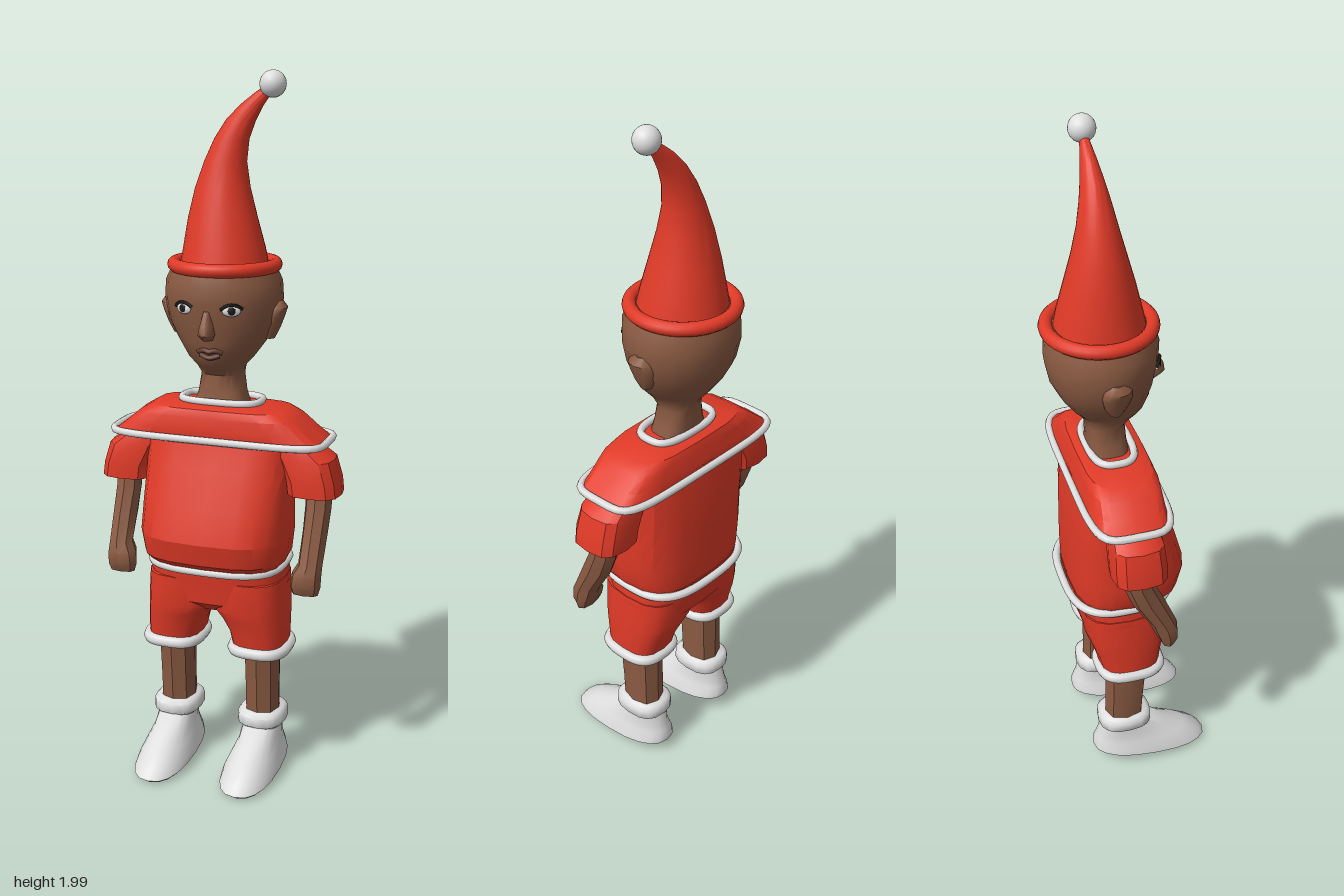
import * as THREE from 'three';
import { toCreasedNormals } from 'three/addons/utils/BufferGeometryUtils.js';

const mat = (name, color) => Object.assign(new THREE.MeshStandardMaterial({ color }), { name });

// point on a rounded-rectangle outline; e = 2 is an ellipse, higher is boxier
function outline(a, x0, x1, z0, z1, e = 2) {
  const p = (v) => Math.sign(v) * Math.pow(Math.abs(v), 2 / e);
  return [(x0 + x1) / 2 + ((x1 - x0) / 2) * p(Math.cos(a)), (z0 + z1) / 2 + ((z1 - z0) / 2) * p(Math.sin(a))];
}

// skin over horizontal rings [y, x0, x1, z0, z1, e], bottom to top, with both ends closed
function loft(rings, n = 16, crease = 0.6, rule = null) {
  const pos = [], idx = [];
  const add = (x, y, z) => pos.push(x, rule ? rule(y, z) : y, z);
  rings.forEach(([y, ...r]) => {
    for (let i = 0; i < n; i++) {
      const [x, z] = outline((i / n) * Math.PI * 2, ...r);
      add(x, y, z);
    }
  });
  const last = rings.length - 1;
  for (const k of [0, last]) {
    const [y, x0, x1, z0, z1] = rings[k];
    add((x0 + x1) / 2, y, (z0 + z1) / 2);
  }
  const c = rings.length * n;
  for (let i = 0; i < n; i++) {
    const j = (i + 1) % n;
    for (let k = 0; k < last; k++) {
      const a = k * n + i, b = k * n + j;
      idx.push(a, a + n, b, b, a + n, b + n);
    }
    idx.push(c, i, j, c + 1, last * n + j, last * n + i);
  }
  const g = new THREE.BufferGeometry();
  g.setAttribute('position', new THREE.Float32BufferAttribute(pos, 3));
  g.setIndex(idx);
  return toCreasedNormals(g, crease);
}

// rings mirrored across x when s is -1
const side = (s, rings) => (s > 0 ? rings : rings.map(([y, a, b, ...r]) => [y, -b, -a, ...r]));

// closed cord around an outline
function cord(y, r, x0, x1, z0, z1, e = 2) {
  const pts = [];
  for (let i = 0; i < 24; i++) {
    const [x, z] = outline((i / 24) * Math.PI * 2, x0, x1, z0, z1, e);
    pts.push(new THREE.Vector3(x, y, z));
  }
  return new THREE.TubeGeometry(new THREE.CatmullRomCurve3(pts, true), 72, r, 8, true);
}

const strand = (r, ...p) =>
  new THREE.TubeGeometry(new THREE.CatmullRomCurve3(p.map((q) => new THREE.Vector3(...q))), 10, r, 6);

export function createModel() {
  const model = new THREE.Group();
  const red = mat('red cloth', 0xe03a27), skin = mat('brown skin', 0x8a5a42);
  const white = mat('white trim', 0xdedede), black = mat('black', 0x1c1816), lip = mat('lip brown', 0x6b4030);
  const add = (name, geo, m) => {
    const mesh = new THREE.Mesh(geo, m);
    mesh.name = name;
    model.add(mesh);
    return mesh;
  };

  // hat
  add('hat', loft([
    [1.47, -0.125, 0.125, -0.19, 0.06], [1.53, -0.115, 0.112, -0.178, 0.046],
    [1.61, -0.102, 0.09, -0.158, 0.026], [1.69, -0.083, 0.07, -0.137, 0.004],
    [1.76, -0.058, 0.06, -0.12, -0.014], [1.82, -0.03, 0.067, -0.107, -0.027],
    [1.87, 0.003, 0.086, -0.096, -0.038], [1.91, 0.043, 0.108, -0.087, -0.047],
    [1.94, 0.082, 0.13, -0.08, -0.054], [1.965, 0.12, 0.145, -0.074, -0.06],
  ], 32, 1), red);
  const brim = add('hatBrim', new THREE.TorusGeometry(0.14, 0.019, 12, 40), red);
  brim.rotation.x = Math.PI / 2;
  brim.position.set(0, 1.483, -0.066);
  add('pompom', new THREE.SphereGeometry(0.036, 24, 16), white).position.set(0.133, 1.964, -0.067);

  // head and neck
  add('head', loft([
    [1.07, -0.085, 0.085, -0.11, 0.01, 3], [1.13, -0.066, 0.066, -0.106, 0, 3],
    [1.18, -0.06, 0.06, -0.11, -0.002, 2.4], [1.205, -0.068, 0.068, -0.118, 0.03],
    [1.235, -0.095, 0.095, -0.145, 0.054], [1.28, -0.127, 0.127, -0.178, 0.066],
    [1.33, -0.154, 0.154, -0.203, 0.078], [1.39, -0.166, 0.166, -0.215, 0.088],
    [1.44, -0.163, 0.163, -0.213, 0.09], [1.49, -0.14, 0.14, -0.195, 0.07],
  ], 20, 0.9), skin);
  add('nose', loft([
    [1.295, -0.014, 0.014, 0.05, 0.092], [1.312, -0.023, 0.023, 0.05, 0.115],
    [1.335, -0.018, 0.018, 0.05, 0.112], [1.375, -0.009, 0.009, 0.05, 0.092],
  ], 10, 1), skin);
  add('upperLip', strand(0.007, [-0.035, 1.258, 0.053], [-0.012, 1.264, 0.063], [0, 1.26, 0.064], [0.012, 1.264, 0.063], [0.035, 1.258, 0.053]), lip);
  add('lowerLip', strand(0.007, [-0.028, 1.25, 0.053], [0, 1.243, 0.062], [0.028, 1.25, 0.053]), lip);

  for (const s of [1, -1]) {
    // eyes, lashes and ears
    const eye = new THREE.Group();
    eye.name = 'eye';
    eye.position.set(s * 0.068, 1.378, 0.073);
    eye.rotation.y = s * 0.4;
    const part = (name, r, m, sx, sy, sz, y, z) => {
      const p = new THREE.Mesh(new THREE.SphereGeometry(r, 16, 10), m);
      p.name = name;
      p.scale.set(sx, sy, sz);
      p.position.set(0, y, z);
      eye.add(p);
    };
    part('eyeWhite', 0.025, white, 1, 0.6, 0.3, 0, 0);
    part('pupil', 0.011, black, 1, 1, 0.3, 0.001, 0.006);
    const lash = new THREE.Mesh(strand(0.0045, [-0.03, 0.004, 0], [-0.012, 0.016, 0.004], [0.012, 0.016, 0.004], [0.03, 0.006, 0]), black);
    lash.name = 'lashes';
    eye.add(lash);
    model.add(eye);
    add('ear', loft(side(s, [
      [1.285, 0.12, 0.148, -0.075, -0.045], [1.315, 0.12, 0.163, -0.095, -0.03],
      [1.35, 0.12, 0.176, -0.104, -0.02], [1.372, 0.12, 0.184, -0.1, -0.022],
      [1.392, 0.12, 0.17, -0.085, -0.04],
    ]), 10, 0.9), skin);

    // sleeve, arm and hand
    add('sleeve', loft(side(s, [
      [0.86, 0.205, 0.355, -0.12, 0.035, 3], [0.9, 0.2, 0.35, -0.122, 0.035, 3],
      [0.96, 0.17, 0.333, -0.118, 0.03, 3], [1.0, 0.15, 0.275, -0.11, 0.02, 3],
    ]), 12, 0.5), red);
    add('arm', loft(side(s, [
      [0.585, 0.24, 0.315, 0.025, 0.062, 2.5], [0.61, 0.233, 0.322, 0.012, 0.074, 2.5],
      [0.645, 0.238, 0.322, -0.002, 0.074, 2.5], [0.67, 0.252, 0.322, -0.012, 0.065],
      [0.75, 0.252, 0.324, -0.06, 0.032], [0.82, 0.25, 0.326, -0.085, 0],
      [0.9, 0.25, 0.325, -0.095, -0.015],
    ]), 8), skin);

    // shorts leg, hem, leg, cuff and shoe
    add('shortsLeg', loft(side(s, [
      [0.38, 0.055, 0.207, -0.11, 0.06, 2.8], [0.44, 0.042, 0.207, -0.125, 0.07, 2.8],
      [0.48, 0.02, 0.206, -0.14, 0.08, 2.8], [0.51, -0.004, 0.205, -0.15, 0.087, 2.8],
      [0.6, -0.01, 0.2, -0.16, 0.09, 2.8],
    ])), red);
    add('shortsHem', cord(0.385, 0.017, ...(s > 0 ? [0.055, 0.207] : [-0.207, -0.055]), -0.113, 0.063, 3), white);
    add('leg', loft(side(s, [
      [0.14, 0.082, 0.182, -0.098, 0.018, 2.4], [0.25, 0.082, 0.182, -0.096, 0.025, 2.4],
      [0.4, 0.08, 0.184, -0.095, 0.038, 2.4],
    ]), 8), skin);
    add('sockCuff', loft(side(s, [
      [0.133, 0.073, 0.192, -0.11, 0.03, 2.6], [0.143, 0.063, 0.202, -0.12, 0.042, 2.6],
      [0.17, 0.063, 0.202, -0.12, 0.042, 2.6], [0.181, 0.073, 0.192, -0.11, 0.03, 2.6],
    ]), 16, 0.9), white);
    add('shoe', loft(side(s, [
      [0.004, 0.06, 0.205, -0.128, 0.21, 2.4], [0.014, 0.052, 0.213, -0.137, 0.222, 2.4],
      [0.035, 0.056, 0.209, -0.137, 0.205, 2.3], [0.07, 0.068, 0.198, -0.13, 0.155, 2.2],
      [0.1, 0.077, 0.19, -0.122, 0.095, 2.2], [0.145, 0.08, 0.186, -0.112, 0.03, 2.2],
    ]), 20, 0.8, (y, z) => y + 0.033 * ((0.222 - z) / 0.36) * Math.max(0, 1 - y / 0.1)), white);
  }

  // shirt with a round belly
  add('shirt', loft([
    [0.635, -0.19, 0.19, -0.172, 0.105, 3], [0.665, -0.206, 0.206, -0.174, 0.138, 3],
    [0.73, -0.214, 0.214, -0.175, 0.152, 3], [0.82, -0.212, 0.212, -0.174, 0.127, 3],
    [0.92, -0.21, 0.21, -0.17, 0.085, 3.2], [1.02, -0.205, 0.205, -0.155, 0.055, 3.5],
  ], 20, 0.45), red);

  // shoulder cape and its cords
  add('shoulderCape', loft([
    [0.995, -0.3, 0.3, -0.155, 0.055, 5], [1.01, -0.302, 0.302, -0.157, 0.06, 5],
    [1.035, -0.27, 0.27, -0.15, 0.058, 5], [1.07, -0.228, 0.228, -0.145, 0.056, 5],
    [1.09, -0.195, 0.195, -0.138, 0.048, 4], [1.1, -0.12, 0.12, -0.11, 0.02, 3],
  ], 20, 0.45), red);
  add('capeCord', cord(1.007, 0.011, -0.31, 0.31, -0.161, 0.064, 5), white);
  add('collarCord', cord(1.106, 0.011, -0.114, 0.114, -0.108, 0.014, 3), white);

  // hips and waist cord
  add('hips', loft([
    [0.5, -0.06, 0.06, -0.11, 0.05, 3], [0.53, -0.19, 0.19, -0.155, 0.085, 3],
    [0.58, -0.202, 0.202, -0.168, 0.09, 3], [0.645, -0.19, 0.19, -0.175, 0.1, 3],
  ], 20), red);
  add('waistCord', cord(0.637, 0.012, -0.192, 0.192, -0.187, 0.112, 3), white);
  return model;
}
